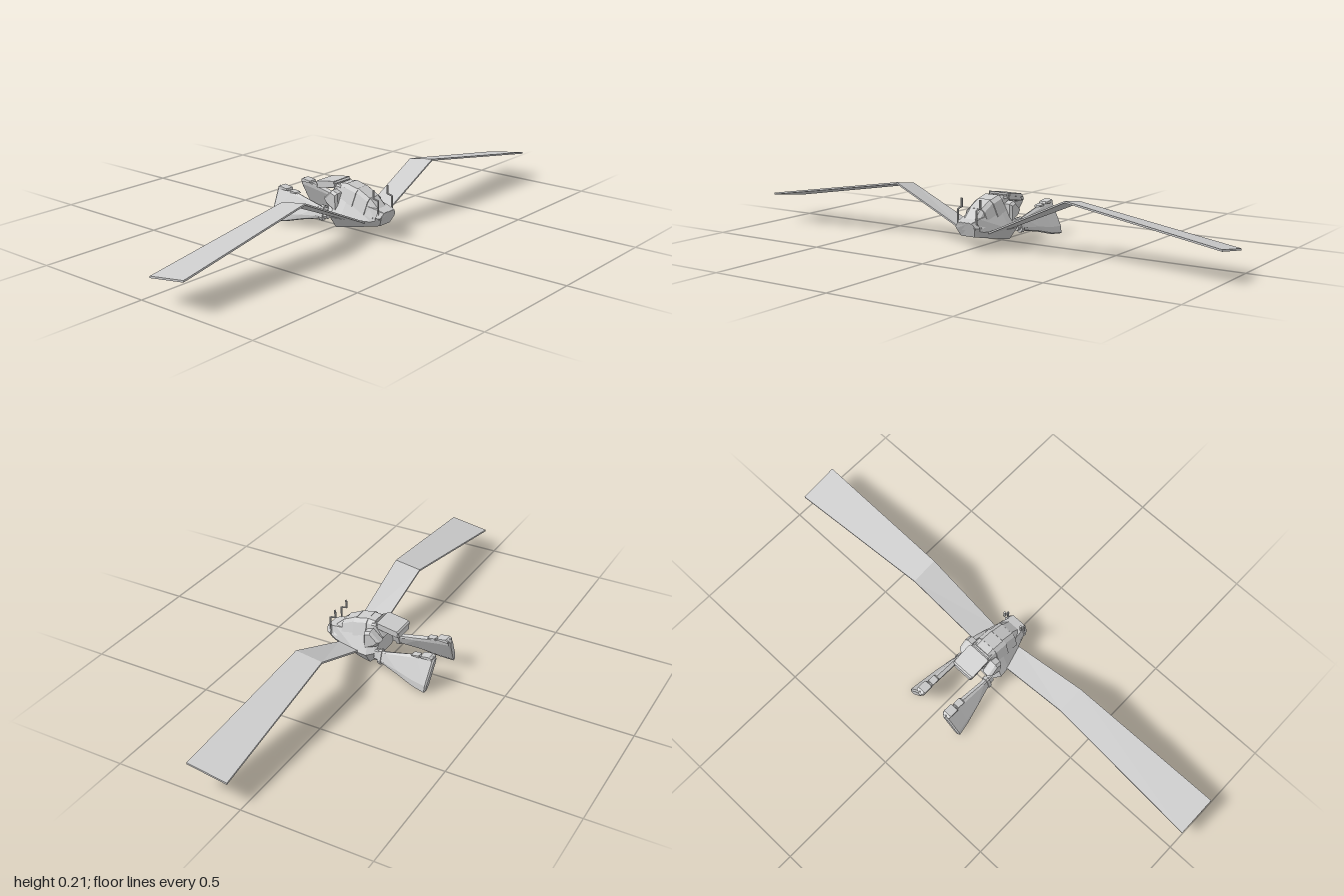
import * as THREE from 'three';

const material = new THREE.MeshStandardMaterial({ color: 0xcccccc, flatShading: true });

// Closed, flat-shaded skin through equal-length rings of [x, y, z]; always wound outwards.
function loft(rings) {
  const n = rings[0].length, tris = [];
  for (let i = 0; i < rings.length - 1; i++) {
    for (let j = 0; j < n; j++) {
      const k = (j + 1) % n, a = rings[i], b = rings[i + 1];
      tris.push([a[j], a[k], b[k]], [a[j], b[k], b[j]]);
    }
  }
  const first = rings[0], last = rings[rings.length - 1];
  for (let j = 1; j < n - 1; j++) {
    tris.push([first[0], first[j + 1], first[j]], [last[0], last[j], last[j + 1]]);
  }
  const v = (p) => new THREE.Vector3(...p);
  const o = v(first[0]);
  const volume = tris.reduce((s, [a, b, c]) =>
    s + v(a).sub(o).dot(v(b).sub(o).cross(v(c).sub(o))), 0);
  if (volume < 0) tris.forEach((t) => t.reverse());
  const g = new THREE.BufferGeometry();
  g.setAttribute('position', new THREE.Float32BufferAttribute(tris.flat(2), 3));
  g.computeVertexNormals();
  return g;
}

// Symmetric ring from [halfWidth, y, z] listed top to bottom.
const symmetric = (half) => [
  ...half, ...[...half].reverse().map(([x, y, z]) => [-x, y, z]),
];

// Profile in the z-y plane pushed out between two x positions, with bevelled sides.
function slab(profile, x0, x1, bevel = 0.006) {
  const cz = profile.reduce((s, p) => s + p[0], 0) / profile.length;
  const cy = profile.reduce((s, p) => s + p[1], 0) / profile.length;
  const ring = (x, inset) => profile.map(([z, y]) => {
    const d = Math.hypot(z - cz, y - cy), k = 1 - inset / d;
    return [x, cy + (y - cy) * k, cz + (z - cz) * k];
  });
  const dir = Math.sign(x1 - x0);
  return loft([ring(x0, bevel), ring(x0 + dir * bevel, 0), ring(x1 - dir * bevel, 0), ring(x1, bevel)]);
}

export function createModel() {
  const model = new THREE.Group();
  model.name = 'flyer';
  const add = (name, geometry, parent = model) => {
    const m = new THREE.Mesh(geometry, material);
    m.name = name;
    parent.add(m);
    return m;
  };

  // Boat-shaped lower hull, nose to stern
  add('hull', loft([
    [[0.03, 0.11, 0.245], [0.042, 0.085, 0.24], [0.03, 0.055, 0.226]],
    [[0.04, 0.12, 0.205], [0.055, 0.072, 0.2], [0.038, 0.05, 0.2]],
    [[0.055, 0.14, 0.09], [0.094, 0.07, 0.085], [0.06, 0.028, 0.085]],
    [[0.05, 0.16, 0.05], [0.098, 0.07, 0.04], [0.062, 0.02, 0.04]],
    [[0.045, 0.115, 0.007], [0.08, 0.08, 0.007], [0.055, 0.048, 0.008]],
  ].map(symmetric)));

  // Raised lip around the nose
  add('noseLip', loft([
    [[0.032, 0.109, 0.246], [0.046, 0.09, 0.24], [0.04, 0.08, 0.236]],
    [[0.04, 0.114, 0.225], [0.054, 0.09, 0.222], [0.05, 0.078, 0.22]],
  ].map(symmetric)));

  // Overlapping back plates: [zFront, topFront, zRear, topRear, halfWidth]
  [
    [0.212, 0.118, 0.172, 0.155, 0.036],
    [0.175, 0.153, 0.118, 0.181, 0.041],
    [0.122, 0.178, 0.066, 0.191, 0.045],
    [0.07, 0.19, 0.036, 0.187, 0.042],
  ].forEach(([z0, y0, z1, y1, w], i) => {
    const ring = (z, y) => symmetric([
      [w * 0.65, y, z], [w, y - 0.012, z], [w + 0.018, Math.max(y - 0.06, 0.085), z - 0.005],
    ]);
    add(`backPlate${i + 1}`, loft([ring(z0, y0), ring(z1, y1)]));
  });

  // Rear booster box with collar and end cap
  add('boosterCollar', slab([[0.05, 0.18], [0.025, 0.182], [-0.008, 0.135], [0.01, 0.11], [0.05, 0.14]], -0.044, 0.044));
  add('booster', slab([[0.028, 0.188], [0.02, 0.192], [-0.07, 0.178], [-0.075, 0.15], [0.02, 0.165]], -0.045, 0.045));
  add('boosterTrim', slab([[0.02, 0.194], [-0.068, 0.18], [-0.074, 0.174], [-0.074, 0.166], [0.02, 0.182]], -0.048, 0.048, 0.004));

  for (const [side, s] of [['left', 1], ['right', -1]]) {
    const half = new THREE.Group();
    half.name = `${side}Side`;
    model.add(half);

    // Cranked wing; stations are [x, zFront, yFront, zRear, yRear]
    add('wing', loft([
      [0.06, 0.178, 0.066, 0.08, 0.06],
      [0.38, 0.167, 0.213, 0.058, 0.197],
      [1, 0.205, 0.119, 0.046, 0.095],
    ].map(([x, zf, yf, zr, yr]) => {
      const h = 0.0035;
      return [[s * x, yf + h, zf], [s * x, yr + h, zr], [s * x, yr - h, zr], [s * x, yf - h, zf]];
    })), half);

    // Haunch pod beside the booster
    add('haunch', slab([[0.058, 0.158], [0.032, 0.168], [-0.01, 0.13], [0.006, 0.108], [0.06, 0.085]], s * 0.04, s * 0.084, 0.01), half);

    // Bent feeler pipe near the nose
    const pipe = new THREE.CurvePath();
    const pts = [[0.227, 0.1], [0.227, 0.156], [0.203, 0.161], [0.205, 0.192]]
      .map(([z, y]) => new THREE.Vector3(s * 0.042, y, z));
    for (let i = 0; i < 3; i++) pipe.add(new THREE.LineCurve3(pts[i], pts[i + 1]));
    add('feeler', new THREE.TubeGeometry(pipe, 24, 0.0038, 6), half);
    add('feelerTip', new THREE.CylinderGeometry(0.0045, 0.0045, 0.034, 6), half)
      .position.set(s * 0.042, 0.176, 0.2045);

    // Tail fin cross-section: a tilted plate with bevelled edges
    const finRing = ([z, xt, yt, xb, yb, t]) => {
      const len = Math.hypot(xb - xt, yb - yt);
      const nx = (yt - yb) / len, ny = (xb - xt) / len;
      const at = (f, o) => [
        s * (xt + (xb - xt) * f + nx * o), yt + (yb - yt) * f + ny * o,
        z + f * (z < -0.2 ? 0.01 : 0),
      ];
      return [at(0, t * 0.6), at(0.12, t), at(0.82, t), at(1, t * 0.4),
        at(1, -t * 0.4), at(0.82, -t), at(0.12, -t), at(0, -t * 0.6)];
    };
    // Stations are [z, xTop, yTop, xBottom, yBottom, halfThickness]
    const fin = [
      [-0.015, 0.065, 0.09, 0.08, 0.048, 0.01],
      [-0.035, 0.066, 0.092, 0.085, 0.044, 0.011],
      [-0.1, 0.064, 0.106, 0.102, 0.032, 0.012],
      [-0.172, 0.062, 0.122, 0.118, 0.013, 0.013],
      [-0.236, 0.062, 0.133, 0.127, 0.006, 0.014],
      [-0.242, 0.066, 0.126, 0.121, 0.014, 0.01],
    ];
    add('tailFin', loft(fin.map(finRing)), half);

    // Hinge blocks joining the fin to the hull
    add('finHinge', loft([[0.012, 0.066, 0.09, 0.076, 0.05, 0.011], [-0.012, 0.066, 0.09, 0.078, 0.05, 0.011]].map(finRing)), half);
    add('finCollar', loft([[-0.006, 0.064, 0.096, 0.081, 0.041, 0.014], [-0.02, 0.064, 0.097, 0.084, 0.04, 0.014]].map(finRing)), half);

    // Small blocks along the top of the fin
    add('finBlockFront', slab([[-0.143, 0.118], [-0.148, 0.123], [-0.178, 0.127], [-0.182, 0.117]], s * 0.053, s * 0.08, 0.003), half);
    add('finBlockRear', slab([[-0.184, 0.124], [-0.188, 0.133], [-0.226, 0.139], [-0.236, 0.133], [-0.236, 0.122]], s * 0.05, s * 0.086, 0.004), half);
  }
  return model;
}
